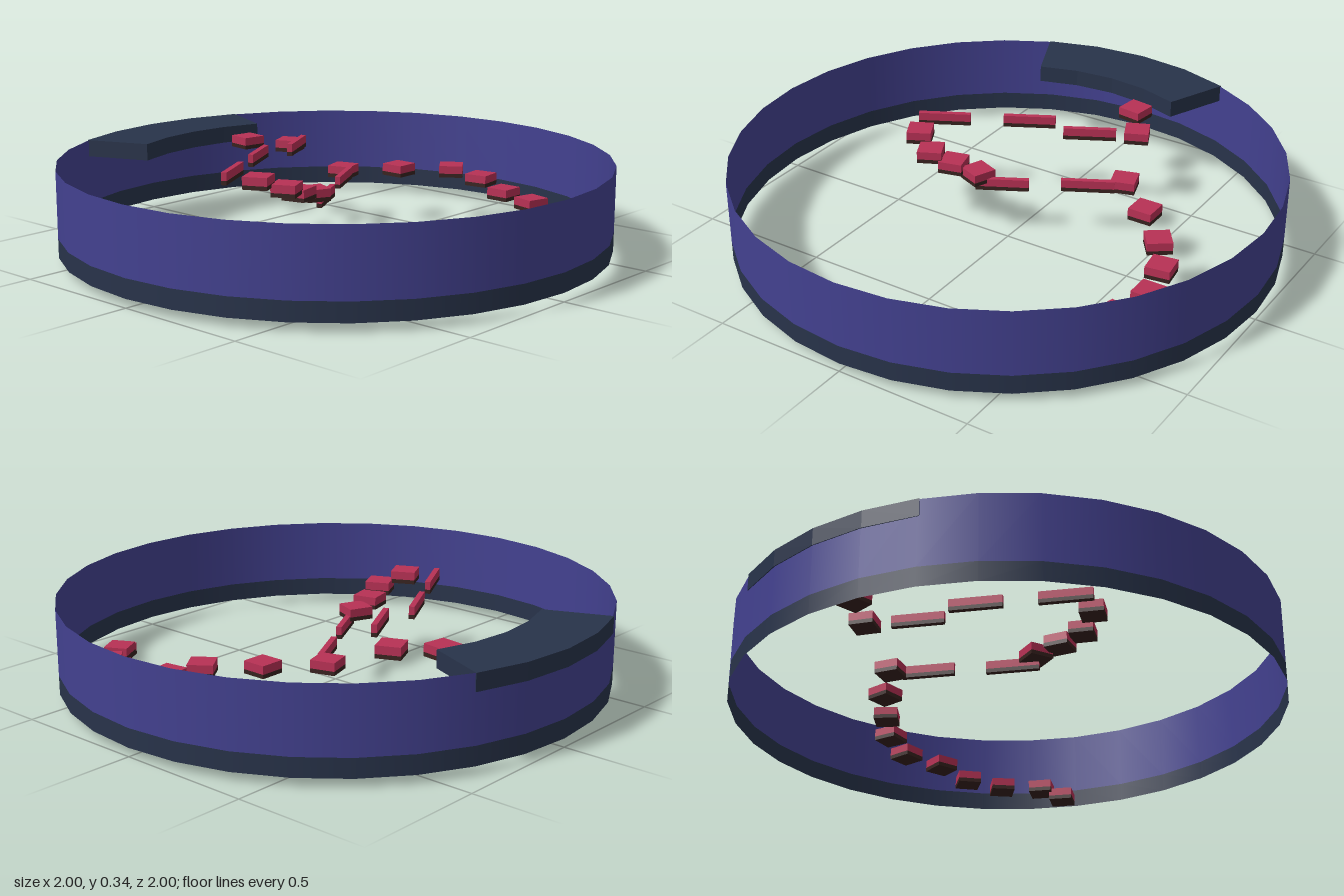
import * as THREE from 'three';

const SEGMENTS = 32;

function makeMaterial(name, color, side = THREE.FrontSide) {
  const m = new THREE.MeshStandardMaterial({ color, side });
  m.name = name;
  return m;
}

export function createModel() {
  const group = new THREE.Group();
  const violet = makeMaterial('violet', 0x434190, THREE.DoubleSide);
  const slate = makeMaterial('slate', 0x28334a, THREE.DoubleSide);
  const crimson = makeMaterial('crimson', 0xb83155);
  const darkBrown = makeMaterial('darkBrown', 0x38221f);

  function add(name, geometry, material, parent = group) {
    const mesh = new THREE.Mesh(geometry, material);
    mesh.name = name;
    parent.add(mesh);
    return mesh;
  }

  // Thin open ring: wall with a dark band along its foot
  function ring(name, bottom, top, material) {
    const geometry = new THREE.CylinderGeometry(1, 1, top - bottom, SEGMENTS, 1, true);
    add(name, geometry, material).position.y = (bottom + top) / 2;
  }
  ring('ringWall', 0.1, 0.341, violet);
  ring('ringFootBand', 0.031, 0.1, slate);

  // Curved landing at the back of the ring
  const corners = [];
  const corner = (r, i) => new THREE.Vector2(r * Math.sin(i * 0.2), r * Math.cos(i * 0.2));
  for (let i = 2; i >= -2; i--) corners.push(corner(1.003, i));
  for (let i = -2; i <= 2; i++) corners.push(corner(0.753, i));
  const landing = new THREE.ExtrudeGeometry(new THREE.Shape(corners), {
    depth: 0.063, bevelEnabled: false,
  });
  landing.rotateX(-Math.PI / 2);
  add('backLanding', landing, slate).position.y = 0.279;

  // Stepping blocks climbing from the front to the landing: x, y, z, turn in degrees
  const blocks = [
    [0.352, 0.0225, 0.784, 28], [0.41, 0.053, 0.724, 28], [0.54, 0.064, 0.63, 46],
    [0.636, 0.088, 0.528, -40], [0.665, 0.119, 0.395, -14], [0.71, 0.127, 0.234, 0],
    [0.7, 0.169, 0.13, 8], [0.635, 0.202, 0.034, 36], [0.5, 0.205, -0.119, 0],
    [0.336, 0.205, -0.264, 17], [-0.123, 0.231, 0.009, -22], [-0.22, 0.251, 0.025, 14],
    [-0.305, 0.283, 0.048, 26], [-0.39, 0.316, -0.005, 27],
    [0.264, 0.289, -0.482, 24], [0.176, 0.296, -0.629, -8],
  ];
  // Narrow balance beams, all turned the same way
  const beams = [
    [0.235, 0.205, -0.172], [-0.035, 0.203, -0.016],
    [-0.377, 0.322, -0.146], [-0.096, 0.322, -0.299], [0.145, 0.322, -0.333],
  ];

  const path = new THREE.Group();
  path.name = 'steppingPath';
  group.add(path);

  // Each step is a crimson slab on a dark underside
  function place(name, [x, y, z, turn = 28], width, depth) {
    const step = new THREE.Group();
    step.name = name;
    step.position.set(x, y, z);
    step.rotation.y = THREE.MathUtils.degToRad(turn);
    path.add(step);
    add('stepTop', new THREE.BoxGeometry(width, 0.03, depth), crimson, step).position.y = 0.0075;
    add('stepUnderside', new THREE.BoxGeometry(width, 0.015, depth), darkBrown, step).position.y = -0.015;
  }
  blocks.forEach((b) => place('steppingBlock', b, 0.09, 0.09));
  beams.forEach((b) => place('balanceBeam', b, 0.195, 0.02));

  return group;
}
